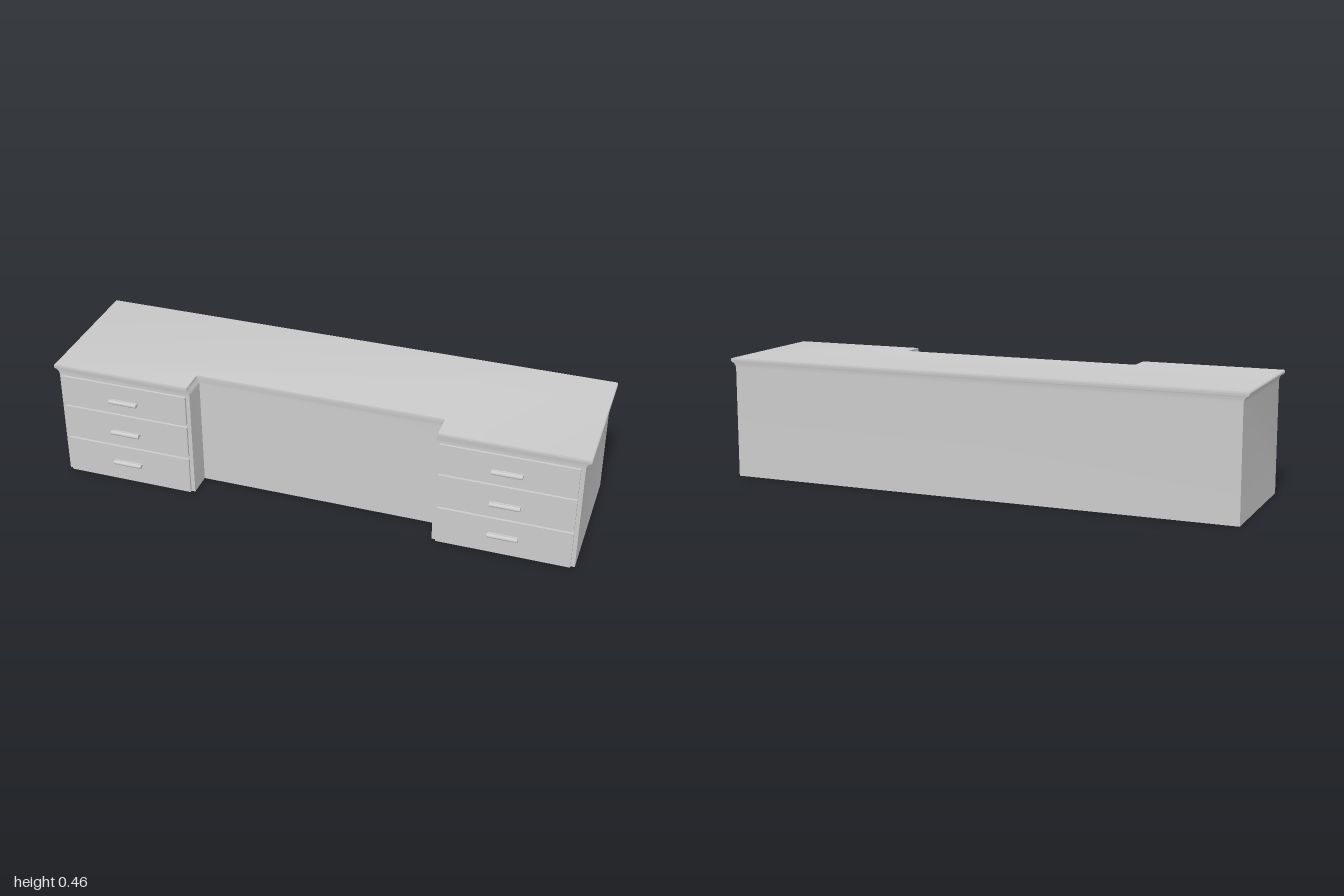
import * as THREE from 'three';
import { toCreasedNormals } from 'three/addons/utils/BufferGeometryUtils.js';

const material = new THREE.MeshStandardMaterial({ color: 0xcccccc });

function addMesh(parent, name, geometry, x = 0, y = 0, z = 0) {
  const mesh = new THREE.Mesh(geometry, material);
  mesh.name = name;
  mesh.position.set(x, y, z);
  parent.add(mesh);
  return mesh;
}

// Solid U-shaped body whose outline swells near the top into a moulded rim
function bodyGeometry() {
  const back = -0.275, front = 0.248, recess = 0.155;
  const mid = (back + front) / 2;
  const outline = [
    [-0.98, back], [0.98, back], [0.98, front], [0.46, front],
    [0.46, recess], [-0.46, recess], [-0.46, front], [-0.98, front],
  ].map(([x, z]) => new THREE.Vector2(x, mid - z));

  // [height, amount of swell]
  const levels = [
    [0, 0], [0.417, 0], [0.425, 0.06], [0.431, 0.18], [0.436, 0.36], [0.44, 0.6],
    [0.443, 0.88], [0.446, 0.98], [0.449, 1], [0.452, 0.98], [0.455, 0.9], [0.457, 0.75],
  ];
  const steps = levels.length - 1;
  const geometry = new THREE.ExtrudeGeometry(new THREE.Shape(outline), {
    depth: 1, steps, bevelEnabled: false,
  });
  geometry.rotateX(-Math.PI / 2);
  const p = geometry.attributes.position;
  for (let i = 0; i < p.count; i++) {
    const [y, swell] = levels[Math.round(p.getY(i) * steps)];
    p.setXYZ(i, p.getX(i) * (1 + 0.0204 * swell), y, p.getZ(i) * (1 + 0.0125 * swell) + mid);
  }
  return toCreasedNormals(geometry, 0.7);
}

// Round bar carried on a thin full-width web
function createHandle() {
  const handle = new THREE.Group();
  handle.name = 'handle';
  const bar = new THREE.CylinderGeometry(0.008, 0.008, 0.11, 20).rotateZ(Math.PI / 2);
  addMesh(handle, 'handleBar', bar, 0, 0, 0.015);
  addMesh(handle, 'handleWeb', new THREE.BoxGeometry(0.11, 0.007, 0.014), 0, 0, 0.006);
  return handle;
}

export function createModel() {
  const desk = new THREE.Group();
  desk.name = 'desk';
  addMesh(desk, 'body', bodyGeometry());

  // Three drawers in each pedestal: [bottom, top, handle height]
  const drawers = [[0, 0.147, 0.083], [0.16, 0.288, 0.217], [0.3, 0.416, 0.352]];
  for (const side of [-1, 1]) {
    const bank = new THREE.Group();
    bank.name = side < 0 ? 'rightDrawers' : 'leftDrawers';
    bank.position.x = side * 0.72;
    for (const [bottom, top, handleY] of drawers) {
      const front = new THREE.BoxGeometry(0.49, top - bottom, 0.015);
      addMesh(bank, 'drawerFront', front, 0, (bottom + top) / 2, 0.2495);
      const handle = createHandle();
      handle.position.set(0, handleY, 0.257);
      bank.add(handle);
    }
    desk.add(bank);
  }
  return desk;
}
